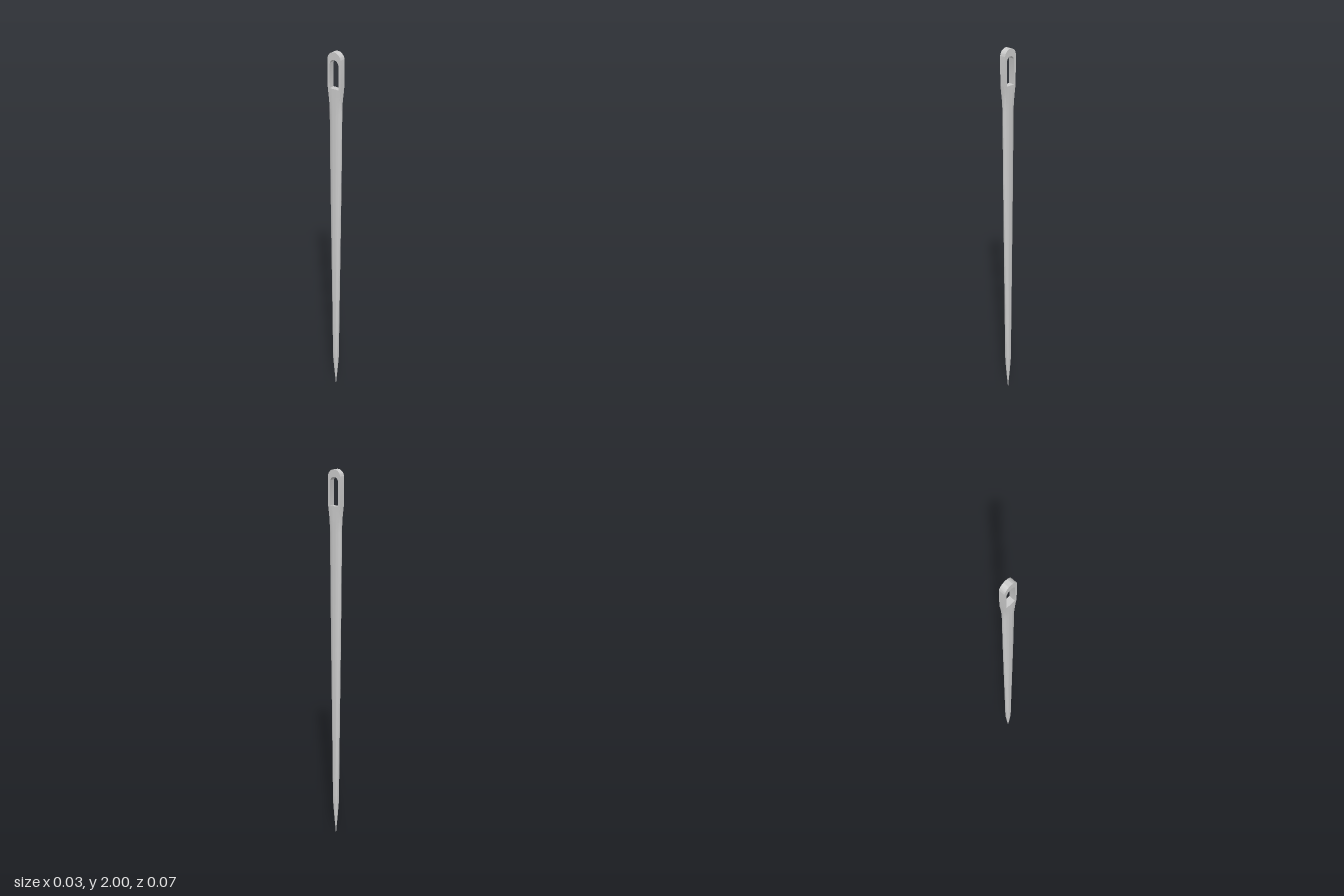
import * as THREE from 'three';
import { toCreasedNormals } from 'three/addons/utils/BufferGeometryUtils.js';

const EYE_BASE = 1.83;

// Shaft stations: [y, half width in x, half width in z, squareness 0..1]
const STATIONS = [
  [0, 0.0006, 0.0006, 0],
  [0.04, 0.003, 0.003, 0],
  [0.1, 0.008, 0.009, 0],
  [0.2, 0.0145, 0.0165, 0],
  [0.26, 0.016, 0.0178, 0],
  [0.5, 0.0163, 0.021, 0],
  [0.8, 0.0163, 0.025, 0],
  [1.1, 0.0163, 0.029, 0],
  [1.4, 0.0163, 0.0325, 0],
  [1.7, 0.016, 0.0345, 0],
  [1.77, 0.0155, 0.035, 0.45],
  [EYE_BASE, 0.015, 0.0355, 1],
  [EYE_BASE, 0, 0, 1], // flat floor of the eye
];

// Lofted shaft: an ellipse that turns into a rectangle below the eye
function shaftGeometry(sides = 32) {
  const positions = [];
  const index = [];
  STATIONS.forEach(([y, rx, rz, square], j) => {
    for (let i = 0; i < sides; i++) {
      const a = (i / sides) * Math.PI * 2;
      const c = Math.cos(a), s = Math.sin(a);
      const k = THREE.MathUtils.lerp(1, 1 / Math.max(Math.abs(c), Math.abs(s)), square);
      positions.push(c * k * rx, y, s * k * rz);
      if (j === 0) continue;
      const n = (i + 1) % sides;
      const low = (j - 1) * sides, high = j * sides;
      index.push(low + i, high + i, low + n);
      if (rx > 0) index.push(low + n, high + i, high + n);
    }
  });
  const geometry = new THREE.BufferGeometry();
  geometry.setAttribute('position', new THREE.Float32BufferAttribute(positions, 3));
  geometry.setIndex(index);
  return toCreasedNormals(geometry, 0.7);
}

// Arched loop around the eye, extruded through the thickness
function eyeGeometry() {
  const outer = 0.0365, inner = 0.024, depth = 0.03;
  const shape = new THREE.Shape();
  shape.moveTo(0.0355, EYE_BASE);
  shape.lineTo(outer, 2 - outer);
  shape.absarc(0, 2 - outer, outer, 0, Math.PI, false);
  shape.lineTo(-0.0355, EYE_BASE);
  shape.lineTo(-inner, EYE_BASE);
  shape.lineTo(-inner, 1.965 - inner);
  shape.absarc(0, 1.965 - inner, inner, Math.PI, 0, true);
  shape.lineTo(inner, EYE_BASE);
  shape.closePath();
  const geometry = new THREE.ExtrudeGeometry(shape, { depth, bevelEnabled: false, curveSegments: 24 });
  geometry.translate(0, 0, -depth / 2);
  geometry.rotateY(Math.PI / 2);
  return toCreasedNormals(geometry, 0.7);
}

export function createModel() {
  const group = new THREE.Group();
  group.name = 'needle';
  const material = new THREE.MeshStandardMaterial({ color: 0xcccccc });
  const add = (name, geometry) => {
    const mesh = new THREE.Mesh(geometry, material);
    mesh.name = name;
    group.add(mesh);
  };
  add('shaft', shaftGeometry());
  add('eyeLoop', eyeGeometry());
  return group;
}
